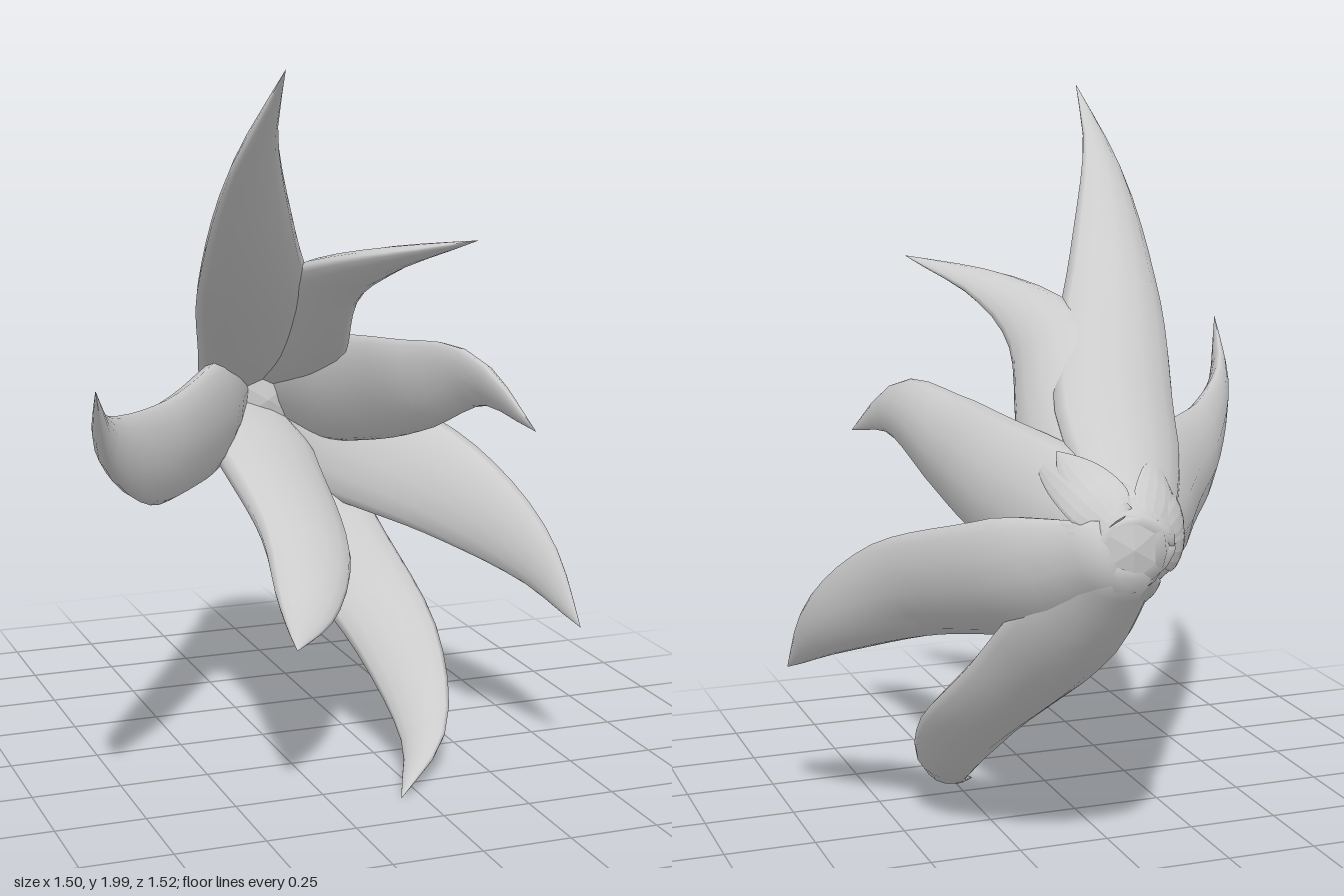
import * as THREE from 'three';

const SIDES = 14, STEPS = 18;
const BASE = { x: 0.13, y: 0.94, z: -0.73 };

// Lofts a closed, flattened horn along points; its broad face looks to the direction out.
function hornGeometry(points, out, halfWidth, flat = 0.46, arch = 0.08) {
  const path = new THREE.CatmullRomCurve3(points);
  const pos = [], index = [];
  for (let i = 0; i <= STEPS; i++) {
    const t = i / STEPS;
    const p = path.getPointAt(t), tangent = path.getTangentAt(t);
    const side = tangent.clone().cross(out).normalize();
    const normal = side.clone().cross(tangent).normalize();
    // narrow root, wide belly, pointed tip
    const w = halfWidth * (0.55 + 0.45 * THREE.MathUtils.smoothstep(t, -0.05, 0.25)) * (1.001 - t ** 2.7);
    for (let j = 0; j < SIDES; j++) {
      const a = (j / SIDES) * Math.PI * 2, c = Math.cos(a), s = Math.sin(a);
      // lens section, bent inwards at both edges
      const n = w * (flat * s * (0.6 + 0.4 * Math.abs(s)) + arch * (0.4 - c * c));
      const v = p.clone().addScaledVector(side, c * w).addScaledVector(normal, n);
      pos.push(v.x, v.y, v.z);
    }
  }
  for (let i = 0; i < STEPS; i++) {
    for (let j = 0; j < SIDES; j++) {
      const a = i * SIDES + j, b = i * SIDES + (j + 1) % SIDES;
      index.push(a, a + SIDES, b, b, a + SIDES, b + SIDES);
    }
  }
  // close the root
  const root = pos.length / 3;
  pos.push(points[0].x, points[0].y, points[0].z);
  for (let j = 0; j < SIDES; j++) index.push(root, j, (j + 1) % SIDES);
  const g = new THREE.BufferGeometry();
  g.setAttribute('position', new THREE.Float32BufferAttribute(pos, 3));
  g.setIndex(index);
  g.computeVertexNormals();
  return g;
}

export function createModel() {
  const group = new THREE.Group();
  const material = new THREE.MeshStandardMaterial({ color: 0xcccccc, side: THREE.DoubleSide });
  const roughMaterial = new THREE.MeshStandardMaterial({ color: 0xcccccc, flatShading: true });
  const add = (name, geometry, mat) => {
    const mesh = new THREE.Mesh(geometry, mat);
    mesh.name = name;
    group.add(mesh);
    return mesh;
  };

  // Seven curved petals, each leaving the root on its outward side
  const petal = (name, outX, outY, halfWidth, ...bends) => {
    const out = new THREE.Vector3(outX, outY, 0).normalize();
    const start = new THREE.Vector3(BASE.x, BASE.y, BASE.z).addScaledVector(out, 0.04);
    const points = [start, ...bends.map(b => new THREE.Vector3(...b))];
    add(name, hornGeometry(points, out, halfWidth), material);
  };
  petal('tallUpperPetal', -0.42, 1.06, 0.185,
    [-0.02, 1.22, -0.25], [-0.195, 1.49, 0.2], [-0.295, 1.79, 0.56], [-0.29, 2, 0.76]);
  petal('rightPetal', -1, 0.1, 0.175,
    [-0.2, 0.96, -0.2], [-0.46, 0.985, 0.2], [-0.67, 1.11, 0.54], [-0.75, 1.28, 0.75]);
  petal('shortUpperPetal', 0.4, 0.9, 0.15,
    [0.13, 1.18, -0.3], [0.075, 1.38, 0.04], [0.15, 1.465, 0.25], [0.34, 1.54, 0.46]);
  petal('leftUpperPetal', 1, 0.3, 0.175,
    [0.31, 1.03, -0.25], [0.355, 1.08, 0], [0.425, 1.14, 0.28], [0.49, 1.04, 0.51]);
  petal('leftLowerPetal', 0.6, -0.35, 0.185,
    [0.33, 0.83, -0.5], [0.54, 0.73, -0.15], [0.69, 0.58, 0.1], [0.745, 0.42, 0.3]);
  petal('bottomPetal', 0.3, -0.9, 0.165,
    [0.25, 0.575, -0.4], [0.355, 0.305, -0.08], [0.335, 0.11, 0.16], [0.19, 0.01, 0.35]);
  petal('frontLowerPetal', -0.16, -0.45, 0.19,
    [0.065, 0.82, -0.45], [0.04, 0.64, 0], [-0.03, 0.53, 0.2], [-0.14, 0.49, 0.43]);

  // Short pointed scales hugging the root
  for (let i = 0; i < 9; i++) {
    const a = (i / 9) * Math.PI * 2 + 0.3 * Math.sin(i * 2.3);
    const out = new THREE.Vector3(Math.cos(a), Math.sin(a), 0);
    const at = (r, z) => new THREE.Vector3(BASE.x, BASE.y, z).addScaledVector(out, r);
    const tip = at(0.23, -0.48 + 0.05 * Math.sin(i * 1.7));
    add('rootScale', hornGeometry([at(0.08, -0.74), at(0.16, -0.65), tip], out, 0.07, 0.2), roughMaterial);
  }

  // Rough faceted knob closing the back
  const knob = add('rootKnob', new THREE.IcosahedronGeometry(0.15, 1), roughMaterial);
  knob.scale.z = 0.65;
  knob.position.set(BASE.x, BASE.y, -0.658);
  return group;
}
